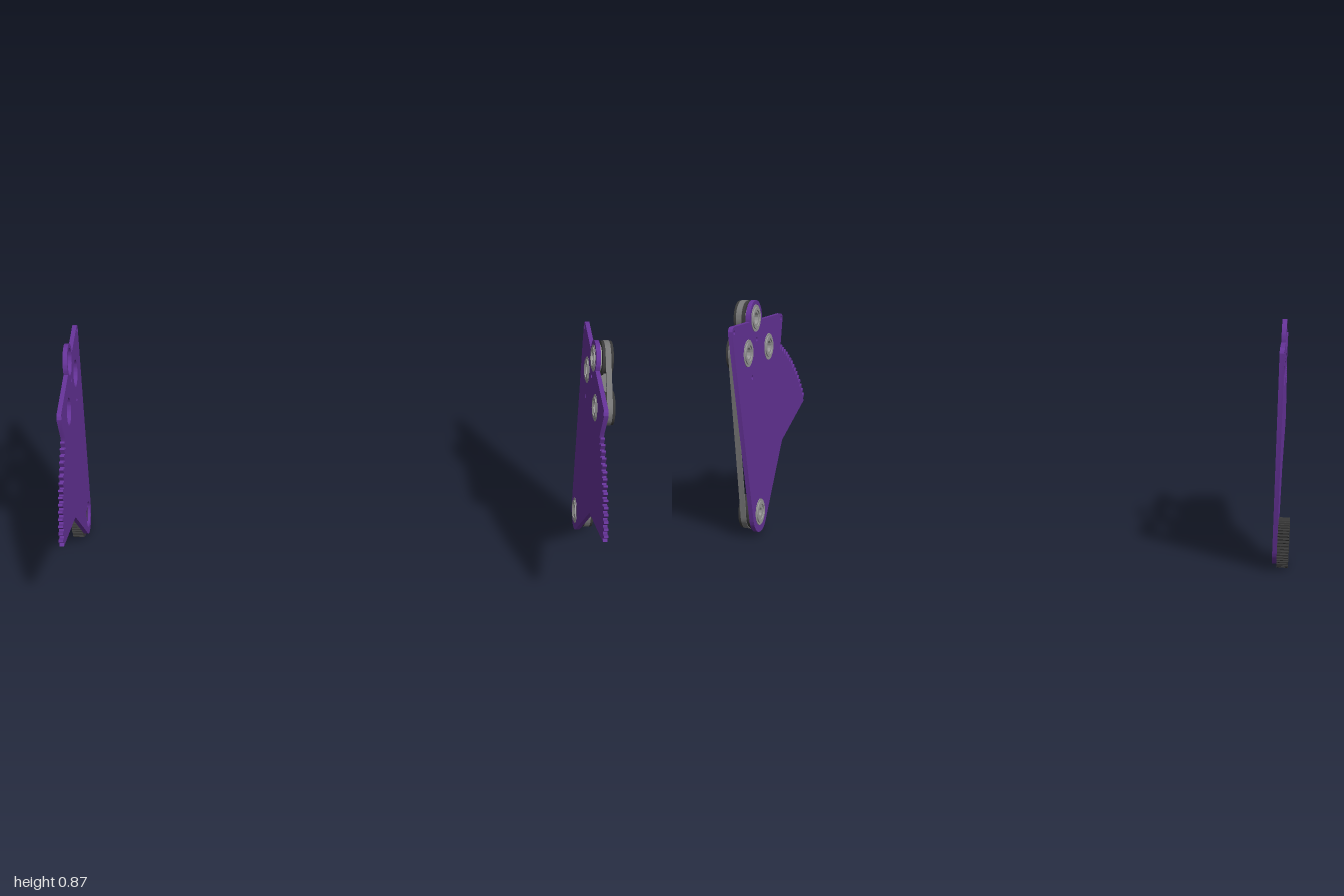
import * as THREE from 'three';
import { toCreasedNormals } from 'three/addons/utils/BufferGeometryUtils.js';

const RAD = Math.PI / 180;
const purple = new THREE.MeshStandardMaterial({ color: 0x663399 });
const dark = new THREE.MeshStandardMaterial({ color: 0x3a3a3a });
const grey = new THREE.MeshStandardMaterial({ color: 0x777777 });
const steel = new THREE.MeshStandardMaterial({ color: 0x999999 });

// Profiles are drawn in a side plane: first coordinate = -z, second = y
const PIVOT = [0.182, 0.089], TOP = [0.141, 0.811], FRONT = [0.015, 0.68], REAR = [0.235, 0.701];

function arc([u, v], r, a0, a1, n = 24) {
  const pts = [];
  for (let i = 0; i <= n; i++) {
    const a = (a0 + (a1 - a0) * i / n) * RAD;
    pts.push(new THREE.Vector2(u + r * Math.cos(a), v + r * Math.sin(a)));
  }
  return pts;
}
const circle = (c, r, n = 48) => arc(c, r, 0, 360 - 360 / n, n - 1);

// Gear teeth between two angles
function teeth(c, root, tip, count, a0 = 0, a1 = 360) {
  const pts = [], step = (a1 - a0) / count;
  const steps = [[0.1, root], [0.32, tip], [0.62, tip], [0.84, root]];
  for (let i = 0; i < count; i++) {
    for (const [t, r] of steps) pts.push(arc(c, r, a0 + (i + t) * step, 0, 1)[0]);
  }
  return pts;
}

// Extrudes an outline with holes from x0 to x1
function slab(name, outline, holes, x0, x1, material, bevel = 0) {
  const shape = new THREE.Shape(outline);
  shape.holes = holes.map((h) => new THREE.Path(h));
  const geo = new THREE.ExtrudeGeometry(shape, {
    depth: x1 - x0 - 2 * bevel, bevelEnabled: bevel > 0,
    bevelThickness: bevel, bevelSize: bevel, bevelOffset: -bevel, bevelSegments: 2,
  });
  geo.translate(0, 0, x0 + bevel);
  geo.rotateY(Math.PI / 2);
  const mesh = new THREE.Mesh(toCreasedNormals(geo, 0.6), material);
  mesh.name = name;
  return mesh;
}

// Side plate with toothed sector, rounded lugs and holes
function plate(name, x0, x1) {
  const v = (x, y) => new THREE.Vector2(x, y);
  const outline = [
    ...arc(PIVOT, 0.075, 221.5, 349.6),
    ...arc([0.369, 0.804], 0.02, -10.4, 97, 10),
    ...arc(TOP, 0.065, -2, 194, 32),
    ...arc([-0.137, 0.757], 0.018, 95, 200, 10),
    v(-0.122, 0.664),
    ...teeth(PIVOT, 0.626, 0.648, 15, 118.5, 152),
    v(-0.378, 0.378),
    v(-0.096, 0.29),
  ];
  const holes = [PIVOT, TOP, FRONT, REAR].map((c) => circle(c, 0.05));
  for (const c of [[-0.137, 0.757], [0.369, 0.804], [0.141, 0.733], [0.205, 0.605]]) holes.push(circle(c, 0.008, 20));
  return slab(name, outline, holes, x0, x1, purple);
}

// Flanged pulley, its bearing and an optional splined insert
function pulley(name, c, bore, splineRoot, splineTip, count) {
  const g = new THREE.Group();
  g.name = name;
  const hole = [count ? teeth(c, splineRoot + 0.0015, splineTip + 0.0015, count) : circle(c, bore)];
  g.add(slab('innerFlange', circle(c, 0.0625), hole, 0.96, 0.97, dark, 0.002));
  g.add(slab('drum', circle(c, 0.057), hole, 0.969, 0.991, dark));
  g.add(slab('outerFlange', circle(c, 0.0625), hole, 0.99, 1, dark, 0.002));
  if (count) g.add(slab('splinedInsert', teeth(c, splineRoot, splineTip, count), [circle(c, bore)], 0.961, 0.998, dark));
  g.add(slab('bearing', circle(c, 0.049), [circle(c, bore)], 0.936, 0.962, steel));
  g.add(slab('bearingRim', circle(c, 0.04), [circle(c, 0.029)], 0.932, 0.937, steel));
  return g;
}

// Flat belt around two equal pulleys
function belt(name, a, b) {
  const dir = Math.atan2(b[1] - a[1], b[0] - a[0]) / RAD;
  const loop = (r) => [...arc(a, r, dir + 90, dir + 270), ...arc(b, r, dir - 90, dir + 90)];
  return slab(name, loop(0.064), [loop(0.057)], 0.97, 0.99, grey);
}

export function createModel() {
  const model = new THREE.Group();
  model.name = 'sidePlateAssembly';

  // Left plate with pulleys and belts on its outer side
  const left = new THREE.Group();
  left.name = 'leftSide';
  left.add(
    plate('leftPlate', 0.937, 0.953),
    pulley('topPulley', TOP, 0.021),
    pulley('frontPulley', FRONT, 0.021, 0.032, 0.042, 14),
    pulley('rearPulley', REAR, 0.021, 0.032, 0.042, 14),
    pulley('pivotPulley', PIVOT, 0.015, 0.018, 0.023, 10),
    belt('shortBelt', FRONT, TOP),
    belt('longBelt', PIVOT, REAR),
  );

  // Right plate with a toothed drive wheel on its outer side
  const right = new THREE.Group();
  right.name = 'rightSide';
  right.add(
    plate('rightPlate', -0.961, -0.945),
    slab('driveWheel', teeth(PIVOT, 0.083, 0.088, 48), [circle(PIVOT, 0.015)], -1, -0.961, dark),
    slab('driveWheelHub', circle(PIVOT, 0.035), [circle(PIVOT, 0.015)], -0.962, -0.953, dark),
  );

  model.add(left, right);
  return model;
}
